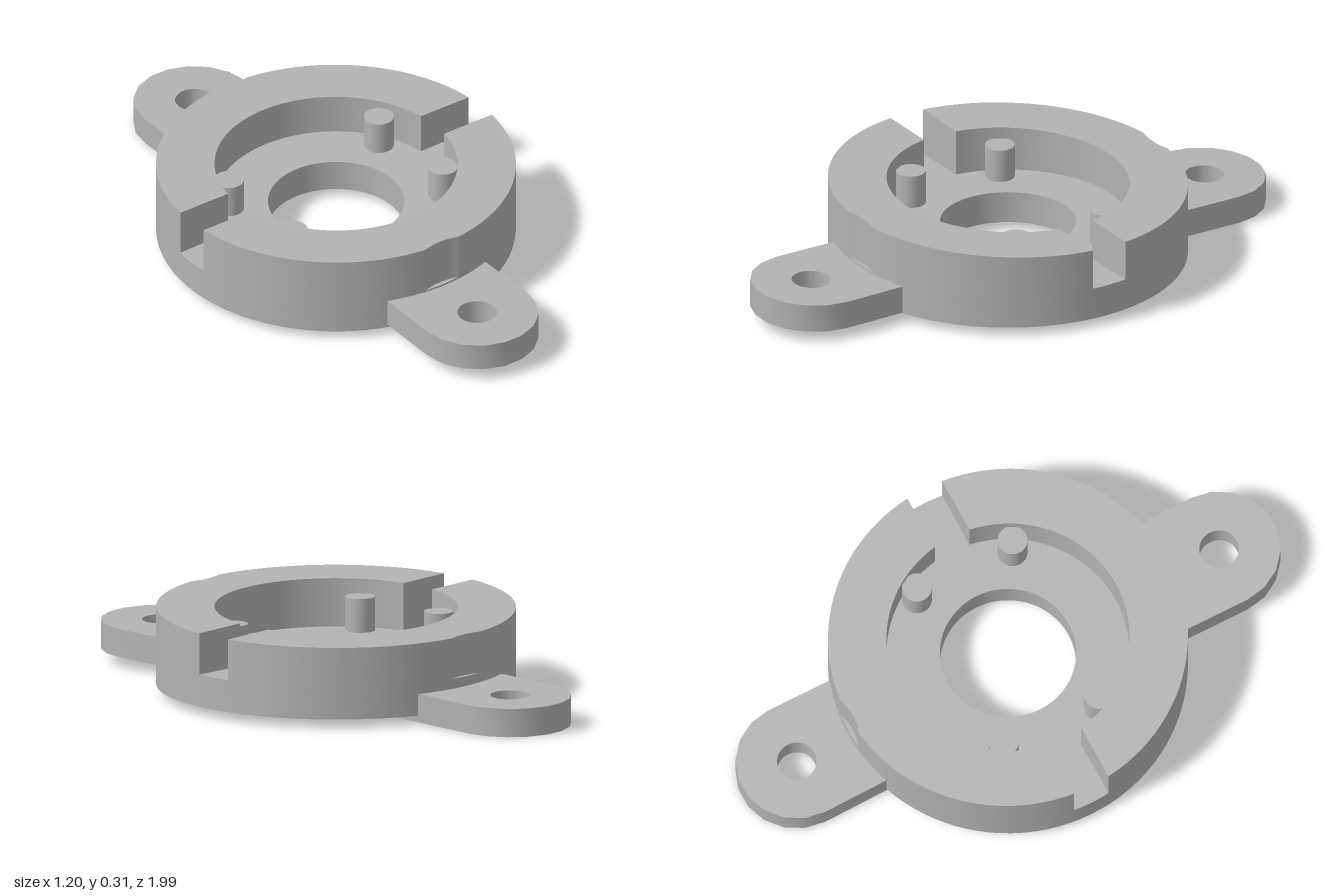
import * as THREE from 'three';
import { toCreasedNormals } from 'three/addons/utils/BufferGeometryUtils.js';

const R_OUT = 0.6, R_IN = 0.405, R_HOLE = 0.227;
const BOTTOM = 0.03, FLOOR = 0.14, TOP = 0.292;
const SLOT = 0.065, TAB_Z = 0.795, TAB_R = 0.205;

// slight lean shared by the rim top and the mounting tabs
const lean = (x, z) => -0.021 * x + 0.022 * z;

// extrude a plan outline upwards from y0 to y1 (plan y points to -z)
function slab(shape, y0, y1, segments = 48) {
  const g = new THREE.ExtrudeGeometry(shape, { depth: y1 - y0, bevelEnabled: false, curveSegments: segments });
  return g.rotateX(-Math.PI / 2).translate(0, y0, 0);
}

// shift vertices along the lean, only those above minY
function applyLean(g, minY) {
  const p = g.attributes.position;
  for (let i = 0; i < p.count; i++) {
    if (p.getY(i) > minY) p.setY(i, p.getY(i) + lean(p.getX(i), p.getZ(i)));
  }
  g.computeVertexNormals();
  return g;
}

// base plate with the central opening
function basePlate() {
  const s = new THREE.Shape().absarc(0, 0, R_OUT, 0, Math.PI * 2, false);
  s.holes.push(new THREE.Path().absarc(0, 0, R_HOLE, 0, Math.PI * 2, true));
  return slab(s, BOTTOM, FLOOR);
}

// half of the raised rim, with a shallow screw relief in its outer face
function rimHalf() {
  const a = Math.asin(SLOT / R_OUT), b = Math.asin(SLOT / R_IN);
  const relief = 0.21;
  const z = (TAB_Z ** 2 + R_OUT ** 2 - relief ** 2) / (2 * TAB_Z);
  const x = Math.sqrt(R_OUT ** 2 - z * z);
  const c = Math.atan2(z, x), d = Math.atan2(z - TAB_Z, x);
  const s = new THREE.Shape();
  s.absarc(0, 0, R_OUT, a, c, false);
  s.absarc(0, TAB_Z, relief, d, -Math.PI - d, true);
  s.absarc(0, 0, R_OUT, Math.PI - c, Math.PI - a, false);
  s.absarc(0, 0, R_IN, Math.PI - b, b, true);
  s.closePath();
  return slab(s, FLOOR, TOP, 40);
}

// mounting tab with a rounded end and a screw hole
function tab() {
  const s = new THREE.Shape();
  s.moveTo(-0.2, 0.36);
  s.lineTo(0.2, 0.36);
  const n = 9;
  for (let i = 0; i <= n; i++) {
    const t = (i / n) * Math.PI;
    s.lineTo(TAB_R * Math.cos(t), TAB_Z + TAB_R * Math.sin(t));
  }
  s.closePath();
  s.holes.push(new THREE.Path().absarc(0, TAB_Z, 0.066, 0, Math.PI * 2, true));
  return slab(s, 0.024, 0.12, 32);
}

export function createModel() {
  const group = new THREE.Group();
  const grey = new THREE.MeshStandardMaterial({ color: 0xb3b3b3 });
  grey.name = 'grey plastic';

  const add = (name, geometry) => {
    const mesh = new THREE.Mesh(toCreasedNormals(geometry, 0.5), grey);
    mesh.name = name;
    group.add(mesh);
  };

  add('basePlate', basePlate());

  // back and front halves of the rim and tabs
  for (const [side, turn] of [['back', 0], ['front', Math.PI]]) {
    add(side + 'Rim', applyLean(rimHalf().rotateY(turn), FLOOR + 0.01));
    add(side + 'Tab', applyLean(tab().rotateY(turn), -1));
  }

  // four locating pegs on the floor
  for (const x of [-0.31, 0.31]) {
    for (const z of [-0.18, 0.18]) {
      const h = 0.115;
      const peg = new THREE.CylinderGeometry(0.05, 0.05, h, 32).translate(x, FLOOR + h / 2, z);
      add((z > 0 ? 'front' : 'back') + (x > 0 ? 'Left' : 'Right') + 'Peg', peg);
    }
  }
  return group;
}
